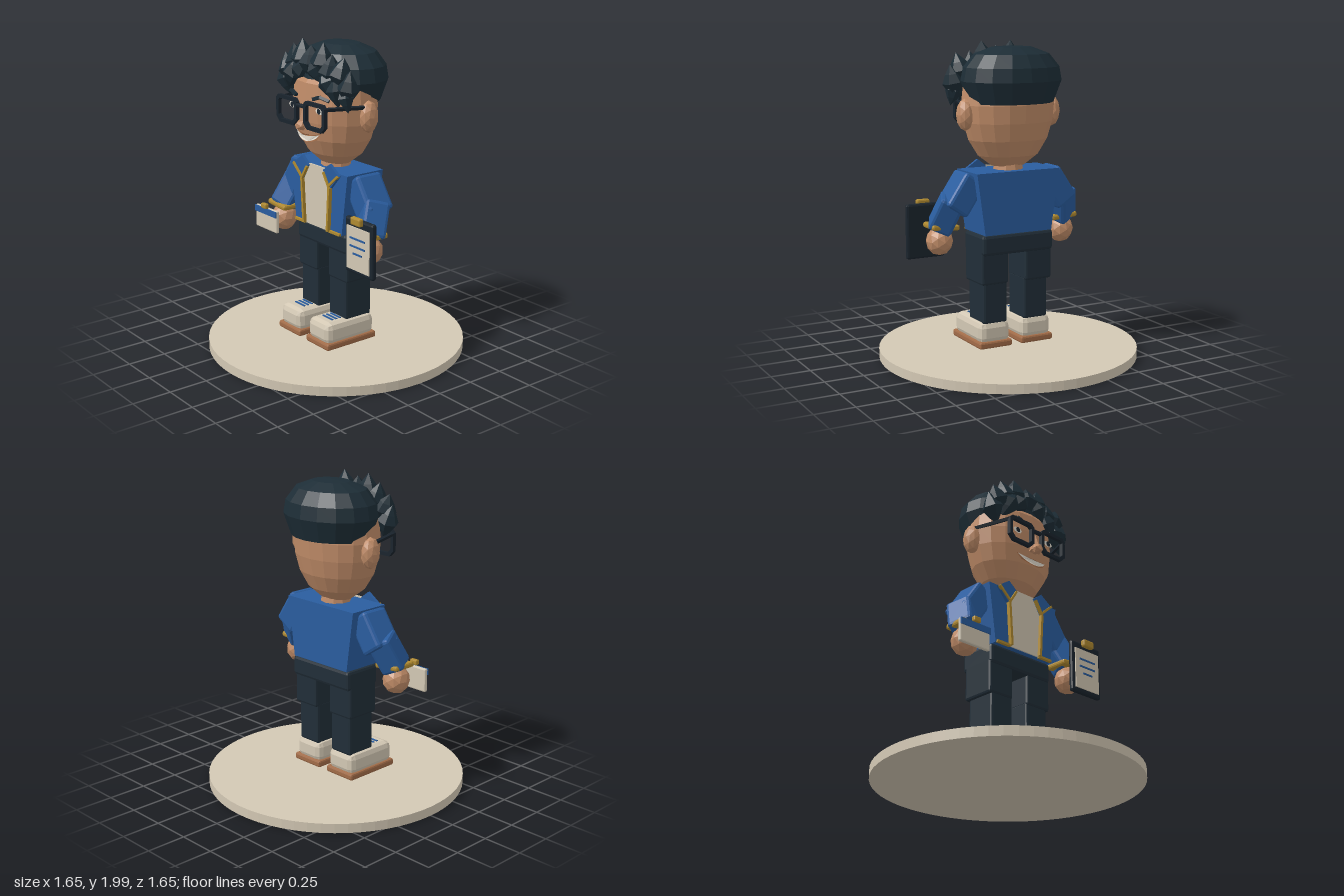
import * as THREE from 'three';
import { RoundedBoxGeometry } from 'three/addons/geometries/RoundedBoxGeometry.js';

const mat = (name, color) => Object.assign(new THREE.MeshStandardMaterial({ color }), { name });

export function createModel() {
  const model = new THREE.Group();
  const skin = mat('skin', 0xc08c68), hair = mat('hair', 0x1d2d36), navy = mat('navy trousers', 0x212e38);
  const blue = mat('jacket blue', 0x2a5d9f), gold = mat('gold', 0xb08a30), cream = mat('cream', 0xd3c8b4);
  const brown = mat('sole brown', 0xa26c48), black = mat('black', 0x1a242d), white = mat('white', 0xe4ddd0);

  // Adds a faceted mesh
  function add(name, geometry, material, x = 0, y = 0, z = 0, parent = model) {
    const geo = geometry.index ? geometry.toNonIndexed() : geometry;
    geo.computeVertexNormals();
    const mesh = new THREE.Mesh(geo, material);
    mesh.name = name;
    mesh.position.set(x, y, z);
    parent.add(mesh);
    return mesh;
  }
  const box = (w, h, d) => new THREE.BoxGeometry(w, h, d);
  const chamfer = (w, h, d, r = 0.015) => new RoundedBoxGeometry(w, h, d, 1, r);
  const ball = (rx, ry, rz, detail = 1) => new THREE.IcosahedronGeometry(1, detail).scale(rx, ry, rz);
  const outline = (pts) => new THREE.Shape(pts.map(([x, y]) => new THREE.Vector2(x, y)));
  const plate = (pts, depth) => new THREE.ExtrudeGeometry(outline(pts), { depth, bevelEnabled: false });
  const UP = new THREE.Vector3(0, 1, 0);

  // Bar running from point a to point b
  function bar(name, a, b, w, d, material, r = 0) {
    const from = new THREE.Vector3(...a), dir = new THREE.Vector3(...b).sub(from);
    const len = dir.length();
    const mesh = add(name, r ? chamfer(w, len, d, r) : box(w, len, d), material);
    mesh.position.copy(from).addScaledVector(dir, 0.5);
    mesh.quaternion.setFromUnitVectors(UP, dir.normalize());
    return mesh;
  }
  // Lathe squashed in depth
  function lathe(name, pts, sides, depth, material, z) {
    const geo = new THREE.LatheGeometry(pts.map(([x, y]) => new THREE.Vector2(x, y)), sides);
    return add(name, geo.scale(1, 1, depth), material, 0, 0, z);
  }

  // Display base
  add('base', new THREE.CylinderGeometry(0.827, 0.827, 0.06, 64), cream, 0, 0.03, 0);

  // Hips, torso and shirt
  add('hips', chamfer(0.5, 0.13, 0.26, 0.02), navy, 0, 0.745, -0.01);
  const torso = box(2, 0.39, 0.28), tp = torso.attributes.position;
  for (let i = 0; i < tp.count; i++) tp.setX(i, tp.getX(i) * (tp.getY(i) > 0 ? 0.29 : 0.235));
  add('jacketBody', torso, blue, 0, 1.005, 0);
  add('shirt', plate([[-0.12, 0.812], [0.12, 0.812], [0.14, 1.1], [0.08, 1.21], [-0.08, 1.21], [-0.14, 1.1]], 0.009), cream, 0, 0, 0.14);
  add('neck', new THREE.CylinderGeometry(0.085, 0.1, 0.1, 10), skin, 0, 1.22, 0);

  for (const s of [1, -1]) {
    // Collar and gold jacket trim
    add('collar', plate([[0.075, 1.2], [0.14, 1.25], [0.23, 1.19], [0.14, 1.09]].map(([x, y]) => [x * s, y]), 0.02), blue, 0, 0, 0.141);
    bar('frontTrim', [0.14 * s, 1.1, 0.158], [0.122 * s, 0.815, 0.158], 0.018, 0.025, gold);
    bar('lapelTrim', [0.085 * s, 1.19, 0.162], [0.142 * s, 1.1, 0.162], 0.014, 0.02, gold);
    bar('collarTrim', [0.225 * s, 1.19, 0.162], [0.135 * s, 1.11, 0.162], 0.014, 0.02, gold);
    bar('hemTrim', [0.122 * s, 0.815, 0.147], [0.23 * s, 0.815, 0.147], 0.015, 0.02, gold);

    // Legs
    add('upperLeg', chamfer(0.19, 0.26, 0.23), navy, 0.155 * s, 0.62, -0.005);
    add('lowerLeg', chamfer(0.17, 0.28, 0.205), navy, 0.145 * s, 0.375, 0);

    // Shoes
    add('sole', chamfer(0.23, 0.045, 0.39, 0.012), brown, 0.148 * s, 0.103, 0.075);
    add('shoe', chamfer(0.215, 0.145, 0.375, 0.04), cream, 0.148 * s, 0.178, 0.075);
    for (const z of [0.12, 0.15, 0.18]) add('lace', box(0.1, 0.008, 0.012), blue, 0.148 * s, 0.252, z);

    // Arms
    bar('upperArm', [-0.262 * -s, 1.165, 0.005], [-0.398 * -s, 0.965, 0.005], 0.16, 0.19, blue, 0.02);
    bar('forearm', [0.385 * s, 1.04, 0.0], [0.445 * s, 0.84, 0.09], 0.16, 0.15, blue, 0.02);
    const cuff = add('cuff', chamfer(0.185, 0.035, 0.16, 0.012), gold, 0.428 * s, 0.855, 0.085);
    cuff.rotation.z = 0.08 * s;
    add('hand', ball(0.085, 0.092, 0.088), skin, 0.44 * s, 0.762, 0.09);
  }

  // Clipboard in the left hand
  add('clipboard', chamfer(0.26, 0.35, 0.035, 0.014), black, 0.49, 0.815, 0.195);
  add('paper', box(0.21, 0.27, 0.008), cream, 0.49, 0.805, 0.216);
  add('clip', chamfer(0.09, 0.05, 0.035, 0.01), gold, 0.49, 0.985, 0.227);
  [[0.87, 0.14], [0.82, 0.14], [0.775, 0.08]].forEach(([y, w]) => add('textLine', box(w, 0.011, 0.005), blue, 0.49, y, 0.222));

  // Badge card in the right hand
  add('card', chamfer(0.235, 0.15, 0.025, 0.008), cream, -0.468, 0.76, 0.205);
  add('cardBand', box(0.235, 0.04, 0.008), blue, -0.468, 0.812, 0.221);
  add('cardClip', chamfer(0.055, 0.035, 0.03, 0.008), gold, -0.468, 0.85, 0.225);

  // Head and ears
  lathe('head', [[0, 1.22], [0.11, 1.224], [0.2, 1.29], [0.263, 1.39], [0.296, 1.5], [0.308, 1.61], [0.292, 1.74], [0.2, 1.86], [0, 1.9]], 18, 0.765, skin, 0.005);
  for (const s of [1, -1]) add('ear', ball(0.055, 0.1, 0.064), skin, 0.305 * s, 1.553, -0.01);

  // Nose
  const nose = new THREE.CylinderGeometry(0.008, 0.04, 0.12, 5).scale(1, 1, 1.25);
  add('nose', nose, skin, 0, 1.535, 0.245);
  add('noseTip', ball(0.038, 0.035, 0.045, 0), skin, 0, 1.485, 0.268);

  // Smile, bent around the face
  function smile(name, grow, z, material) {
    const top = [], bottom = [];
    for (let i = -4; i <= 4; i++) {
      const t = i / 4, x = t * (0.118 + grow);
      top.push([x, 1.417 + 0.02 * t * t + grow]);
      if (Math.abs(i) < 4) bottom.unshift([x, 1.383 + 0.045 * t * t - grow]);
    }
    const geo = new THREE.ShapeGeometry(outline([...bottom, ...top])), p = geo.attributes.position;
    for (let i = 0; i < p.count; i++) p.setZ(i, z - 1.6 * p.getX(i) ** 2);
    add(name, geo, material);
  }
  smile('lips', 0.007, 0.234, brown);
  smile('teeth', 0, 0.239, white);

  // Eyes, brows and glasses
  const octagon = (w, h, c) => [[-w + c, -h], [w - c, -h], [w, -h + c], [w, h - c * 0.6], [w - c * 0.6, h], [-w + c * 0.6, h], [-w, h - c * 0.6], [-w, -h + c]];
  for (const s of [1, -1]) {
    add('eyeWhite', new THREE.CircleGeometry(1, 8).scale(0.037, 0.02, 1), white, 0.135 * s, 1.587, 0.233);
    add('pupil', new THREE.CircleGeometry(0.018, 8), black, 0.135 * s, 1.587, 0.237);
    bar('brow', [0.085 * s, 1.655, 0.24], [0.14 * s, 1.675, 0.235], 0.02, 0.02, hair);
    bar('browTail', [0.14 * s, 1.675, 0.235], [0.195 * s, 1.655, 0.205], 0.018, 0.02, hair);
    const rim = outline(octagon(0.105, 0.086, 0.035));
    rim.holes.push(new THREE.Path(octagon(0.082, 0.064, 0.025).map(([x, y]) => new THREE.Vector2(x, y))));
    add('glassesRim', new THREE.ExtrudeGeometry(rim, { depth: 0.025, bevelEnabled: false }), black, 0.139 * s, 1.558, 0.255);
    bar('glassesTemple', [0.235 * s, 1.618, 0.262], [0.312 * s, 1.615, 0.03], 0.018, 0.02, black);
  }
  add('glassesBridge', chamfer(0.08, 0.022, 0.025, 0.006), black, 0, 1.605, 0.268);

  // Hair cap
  lathe('hairCap', [[0.2, 1.635], [0.275, 1.62], [0.328, 1.755], [0.312, 1.84], [0.245, 1.92], [0.13, 1.962], [0, 1.97]], 16, 0.79, hair, -0.043);

  // Pointed curls along the hairline: x, y, z, half width, half height, tilt
  [
    [-0.285, 1.72, 0.16, 0.07, 0.11, 0.35], [-0.25, 1.79, 0.17, 0.075, 0.105, 0.4], [-0.175, 1.78, 0.19, 0.075, 0.12, -0.5],
    [-0.185, 1.845, 0.16, 0.075, 0.11, 0.3], [-0.105, 1.87, 0.17, 0.08, 0.125, 0.05], [-0.09, 1.81, 0.2, 0.065, 0.1, -0.8],
    [-0.01, 1.86, 0.18, 0.08, 0.105, 0], [0.085, 1.87, 0.17, 0.08, 0.125, -0.1], [0.07, 1.825, 0.2, 0.065, 0.09, 0.6],
    [0.165, 1.82, 0.17, 0.075, 0.115, -0.15], [0.17, 1.76, 0.19, 0.065, 0.11, 0.5], [0.25, 1.82, 0.16, 0.075, 0.11, -0.3],
    [0.235, 1.72, 0.18, 0.065, 0.1, 0.2], [0.305, 1.74, 0.15, 0.07, 0.115, -0.2], [0.3, 1.685, 0.16, 0.055, 0.09, 0.25]
  ].forEach(([x, y, z, w, h, tilt], i) => {
    const geo = new THREE.SphereGeometry(1, 6, 4).scale(w, h, w);
    const p = geo.attributes.position;
    // Pinch the rings toward the tips
    for (let k = 0; k < p.count; k++) if (Math.abs(p.getY(k)) > h * 0.3) p.setXYZ(k, p.getX(k) * 0.85, p.getY(k) * 0.85 + Math.sign(p.getY(k)) * (Math.abs(p.getY(k)) > h * 0.9 ? 0.15 * h : -0.12 * h), p.getZ(k) * 0.85);
    add('curl', geo, hair, x, y, z).rotation.set(0, i * 0.7, tilt, 'ZYX');
  });

  return model;
}
